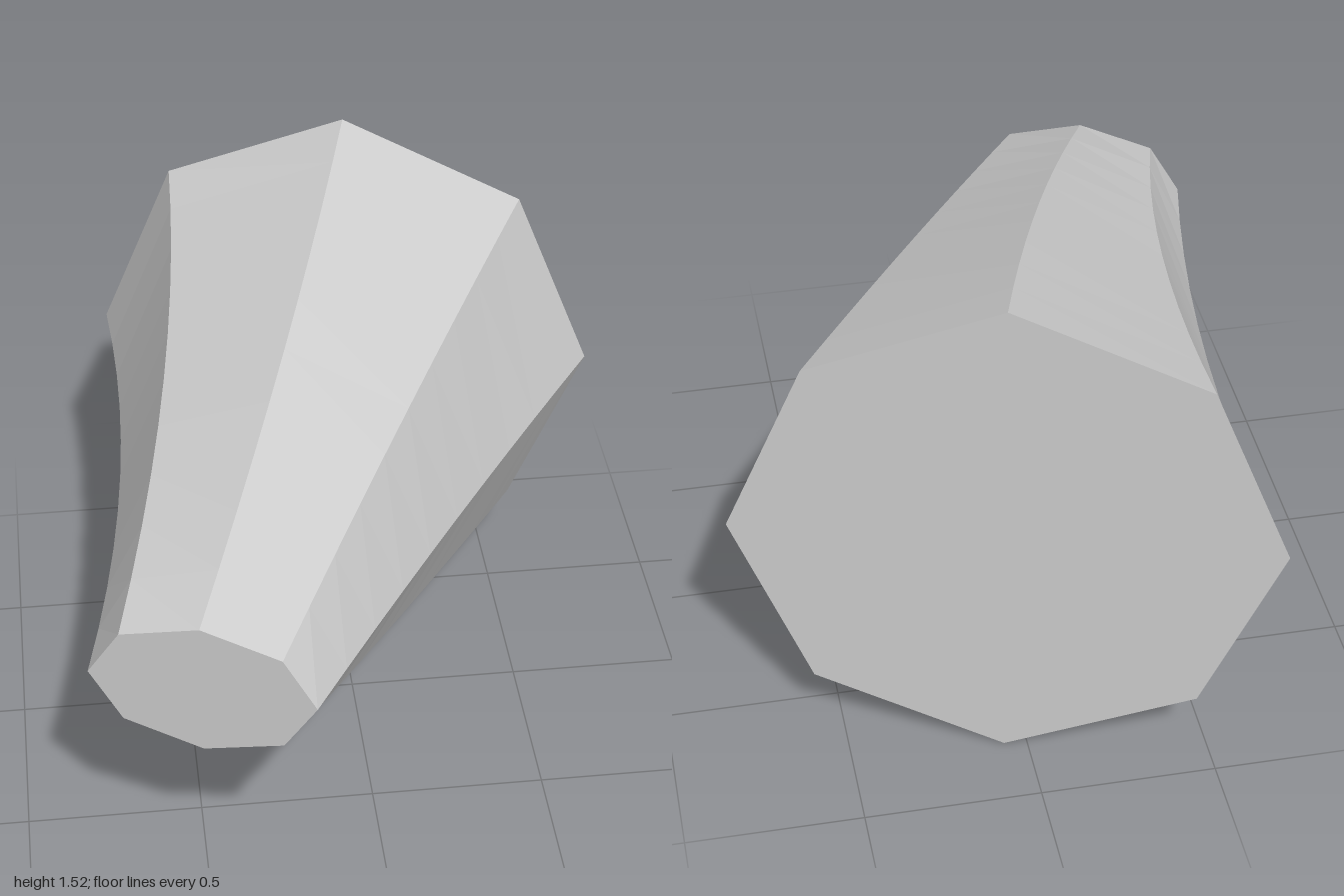
import * as THREE from 'three';

const SIDES = 8;
const RINGS = 10;
const MID_Y = 0.762;

// Eight-sided cross-section at t (0 = wide back end, 1 = narrow front end)
function ring(t) {
  const mix = (a, b, bulge = 0) => a + (b - a) * t + bulge * 4 * t * (1 - t);
  const cx = mix(0.065, -0.505, 0.025);
  const cz = mix(-0.79, 0.88);
  const hx = mix(0.73, 0.295, -0.04); // half width, tilted in plan
  const hz = mix(0.21, 0.115);
  const hy = mix(0.762, 0.203, 0.025); // half height
  return Array.from({ length: SIDES }, (_, i) => {
    const a = (i / SIDES) * Math.PI * 2;
    const c = Math.cos(a);
    return new THREE.Vector3(cx + hx * c, MID_Y + hy * Math.sin(a), cz + hz * c);
  });
}

function meshFrom(name, points, index, material) {
  const geometry = new THREE.BufferGeometry().setFromPoints(points);
  geometry.setIndex(index);
  geometry.computeVertexNormals();
  const mesh = new THREE.Mesh(geometry, material);
  mesh.name = name;
  return mesh;
}

export function createModel() {
  const group = new THREE.Group();
  group.name = 'taperedHorn';
  const grey = new THREE.MeshStandardMaterial({ color: 0xcccccc, flatShading: true });
  grey.name = 'light grey';

  // Bent, tapering wall
  const points = [];
  const index = [];
  for (let j = 0; j <= RINGS; j++) points.push(...ring(j / RINGS));
  for (let j = 0; j < RINGS; j++) {
    for (let i = 0; i < SIDES; i++) {
      const a = j * SIDES + i;
      const b = j * SIDES + ((i + 1) % SIDES);
      index.push(a, b, a + SIDES, b, b + SIDES, a + SIDES);
    }
  }
  group.add(meshFrom('wall', points, index, grey));

  // Flat end caps
  const front = [];
  const back = [];
  for (let i = 1; i < SIDES - 1; i++) {
    front.push(0, i, i + 1);
    back.push(0, i + 1, i);
  }
  group.add(meshFrom('frontCap', ring(1), front, grey));
  group.add(meshFrom('backCap', ring(0), back, grey));
  return group;
}
